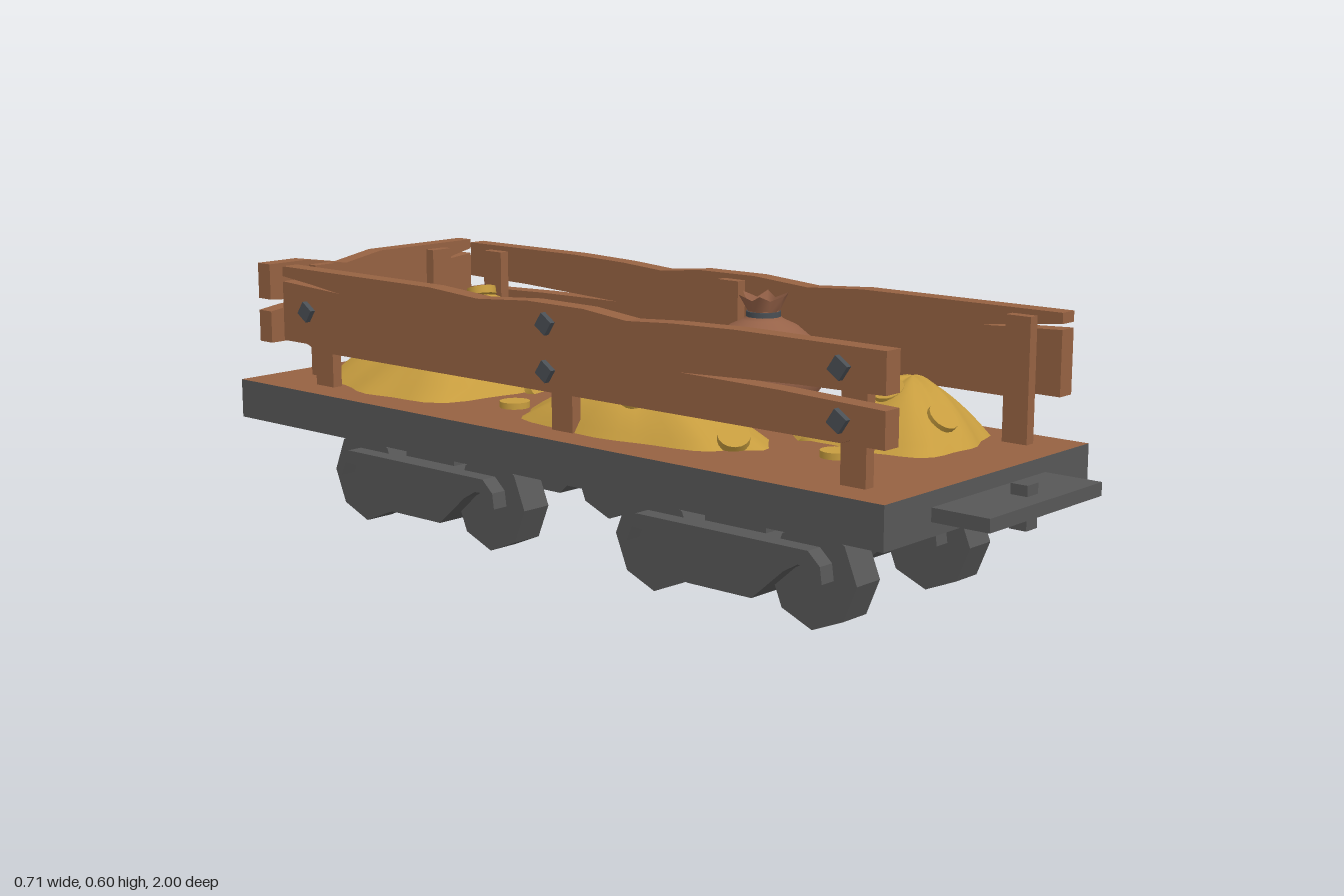
import * as THREE from 'three';

const mat = (name, color, extra = {}) => {
  const m = new THREE.MeshStandardMaterial({ color, ...extra });
  m.name = name;
  return m;
};

export function createModel() {
  const model = new THREE.Group();
  model.name = 'flatWagon';
  const wood = mat('wood', 0x966242);
  const iron = mat('iron', 0x575757);
  const bolt = mat('boltSteel', 0x4a4f54);
  const gold = mat('gold', 0xc79d3f);
  const cloth = mat('sackCloth', 0x966248, { side: THREE.DoubleSide });

  const add = (parent, name, geo, material, x = 0, y = 0, z = 0) => {
    const m = new THREE.Mesh(geo, material);
    m.name = name;
    m.position.set(x, y, z);
    parent.add(m);
    return m;
  };
  const box = (parent, name, material, w, h, d, x, y, z) =>
    add(parent, name, new THREE.BoxGeometry(w, h, d), material, x, y, z);
  const polygon = pts => new THREE.Shape(pts.map(p => new THREE.Vector2(...p)));
  const extrude = (pts, depth) => new THREE.ExtrudeGeometry(polygon(pts), { depth, bevelEnabled: false })
    .translate(0, 0, -depth / 2);

  // Deck: iron slab with a wooden top face
  box(model, 'deck', [iron, iron, wood, iron, iron, iron], 0.71, 0.09, 1.87, 0, 0.275, -0.065);

  // Coupling at the front end
  box(model, 'couplingPlate', iron, 0.395, 0.028, 0.13, -0.007, 0.274, 0.935);
  box(model, 'couplingPin', iron, 0.038, 0.09, 0.038, 0.004, 0.265, 0.94);

  // Four bogies: two octagonal wheels, a side frame and a bolster each
  const halfFrame = [[0.085, 0.05], [0.165, 0.12], [0.2, 0.14], [0.235, 0.142],
    [0.25, 0.11], [0.26, 0.11], [0.255, 0.145], [0.225, 0.172]];
  const frameOutline = [...halfFrame, ...halfFrame.map(([z, y]) => [-z, y]).reverse()];
  const frameGeo = extrude(frameOutline, 0.152).rotateY(-Math.PI / 2);
  const wheelGeo = new THREE.CylinderGeometry(0.108, 0.108, 0.075, 8).rotateZ(Math.PI / 2).toNonIndexed();
  wheelGeo.computeVertexNormals();
  for (const x of [-0.187, 0.2]) {
    for (const z of [0.4, -0.505]) {
      const bogie = new THREE.Group();
      bogie.name = 'bogie';
      bogie.position.set(x, 0, z);
      model.add(bogie);
      for (const s of [-1, 1]) add(bogie, 'wheel', wheelGeo, iron, 0, 0.108, s * 0.208);
      add(bogie, 'bogieFrame', frameGeo, iron);
      box(bogie, 'bolster', iron, 0.05, 0.08, 0.16, 0, 0.2, 0);
    }
  }

  // Split, weathered board wall with posts inside and bolts outside
  const wall = (name, L, dips, posts, cracks, x, z, turn) => {
    const g = new THREE.Group();
    g.name = name;
    g.position.set(x, 0, z);
    g.rotation.y = turn;
    model.add(g);
    const outline = [
      [-L, 0.412], [-L + 0.06, 0.412], [-L + 0.08, 0.42], [-L + 0.1, 0.412],
      [L - 0.12, 0.41], [L - 0.08, 0.424], [L, 0.424],
      [L, 0.562], [L - cracks[0], 0.552], [L - cracks[0] * 0.5, 0.564], [L, 0.574], [L, 0.597],
      ...dips,
      [-L, 0.597], [-L, 0.514], [-L + cracks[1] * 0.4, 0.51], [-L + cracks[1], 0.497],
      [-L + cracks[1] * 0.5, 0.494], [-L, 0.486]
    ];
    add(g, 'boards', extrude(outline, 0.043), wood);
    posts.forEach((s, i) => {
      box(g, 'post', wood, 0.06, 0.265, 0.025, s, 0.4525, 0.034);
      for (const y of i === 0 ? [0.5] : [0.455, 0.555]) {
        box(g, 'bolt', bolt, 0.034, 0.034, 0.02, s, y, -0.0245).rotation.z = 0.6;
      }
    });
  };
  const longDips = [[0.36, 0.596], [0.21, 0.586], [0.06, 0.597], [-0.1, 0.596], [-0.22, 0.584], [-0.34, 0.592], [-0.5, 0.597]];
  const sidePosts = [0.771, 0.003, -0.757];
  wall('leftWall', 0.86, longDips, sidePosts, [0.2, 0.5], 0.299, -0.015, -Math.PI / 2);
  wall('rightWall', 0.86, longDips, sidePosts, [0.2, 0.5], -0.301, -0.015, Math.PI / 2);
  wall('backWall', 0.322, [[0.02, 0.597], [-0.09, 0.578], [-0.21, 0.597]], [0.2, -0.175],
    [0.1, 0.12], 0, -0.944, 0);

  // Gold heaps: concentric rings that rise to an off-centre peak
  const mounds = [
    { x: -0.005, z: -0.645, rx: 0.275, rz: 0.265, h: 0.2, px: 0.065, pz: 0.05, e: 1.5, s: 0.6 },
    { x: 0.155, z: -0.22, rx: 0.118, rz: 0.13, h: 0.075, px: 0.01, pz: 0, e: 2, s: 2 },
    { x: -0.14, z: 0.075, rx: 0.13, rz: 0.32, h: 0.085, px: -0.01, pz: 0, e: 2.2, s: 4 },
    { x: 0.15, z: 0.54, rx: 0.175, rz: 0.18, h: 0.125, px: 0.045, pz: 0, e: 1.7, s: 1.2 }
  ];
  const moundGeo = ({ x, z, rx, rz, h, px, pz, e, s }) => {
    const N = 40, R = 10, pos = [], idx = [];
    for (let r = 0; r <= R; r++) {
      for (let i = 0; i < N; i++) {
        const t = r / R, a = i / N * Math.PI * 2;
        const c = Math.cos(a), d = Math.sin(a);
        const square = Math.pow(c ** 4 + d ** 4, -0.12);
        const w = t * square * (1 + 0.05 * Math.sin(3 * a + s) + 0.035 * Math.sin(8 * a + 2 * s));
        const bump = 0.05 * h * Math.sin(5 * a + s) * Math.sin(t * Math.PI);
        pos.push(x + px * (1 - t) + rx * w * c, 0.319 + h * (1 - t ** e) + bump, z + pz * (1 - t) + rz * w * d);
        if (r < R) {
          const j = (i + 1) % N, p = r * N + i, q = r * N + j;
          idx.push(p, q, q + N, p, q + N, p + N);
        }
      }
    }
    const g = new THREE.BufferGeometry();
    g.setAttribute('position', new THREE.Float32BufferAttribute(pos, 3));
    g.setIndex(idx);
    g.computeVertexNormals();
    return g;
  };
  const heaps = mounds.map(m => add(model, 'goldHeap', moundGeo(m), gold).geometry);

  // Coins lie along the heap surface, or flat on the deck
  const coinGeo = new THREE.CylinderGeometry(0.034, 0.034, 0.018, 16);
  const coins = [[-0.1, -0.73], [0.14, -0.77], [0.05, -0.6], [-0.1, -0.49], [0.06, -0.21], [0.19, -0.21],
    [-0.09, -0.05], [-0.19, 0.11], [-0.04, 0.155], [-0.17, 0.36], [0.12, 0.535], [0.13, 0.66], [0.06, 0.37],
    [0, -0.37], [-0.16, -0.28], [0.1, -0.015], [-0.09, 0.56], [0.01, 0.4]];
  const up = new THREE.Vector3(0, 1, 0);
  for (const [x, z] of coins) {
    let best = 0.03, y = 0.325;
    const n = up.clone();
    for (const g of heaps) {
      const p = g.attributes.position;
      for (let i = 0; i < p.count; i++) {
        const d = Math.hypot(p.getX(i) - x, p.getZ(i) - z);
        if (d < best) {
          best = d;
          y = p.getY(i) + 0.006;
          n.fromBufferAttribute(g.attributes.normal, i);
        }
      }
    }
    add(model, 'coin', coinGeo, gold, x, y, z).quaternion.setFromUnitVectors(up, n.normalize());
  }

  // Tied sack with a pointed, flared mouth
  const sack = new THREE.Group();
  sack.name = 'sack';
  sack.position.set(0.145, 0, 0.18);
  model.add(sack);
  const profile = [[0, 0.32], [0.06, 0.321], [0.1, 0.345], [0.126, 0.38], [0.133, 0.415], [0.126, 0.455],
    [0.105, 0.49], [0.075, 0.516], [0.045, 0.53], [0.034, 0.54], [0.034, 0.55]];
  add(sack, 'sackBody', new THREE.LatheGeometry(profile.map(p => new THREE.Vector2(...p)), 32), cloth);
  add(sack, 'sackTie', new THREE.CylinderGeometry(0.038, 0.038, 0.014, 20), bolt, 0, 0.541, 0);
  const mouth = new THREE.CylinderGeometry(0.058, 0.034, 0.04, 12, 1, true);
  const mp = mouth.attributes.position;
  for (let i = 1; i < 13; i += 2) mp.setXYZ(i, mp.getX(i) * 0.68, 0.007, mp.getZ(i) * 0.68);
  mouth.computeVertexNormals();
  add(sack, 'sackMouth', mouth, cloth, 0, 0.566, 0);

  return model;
}
